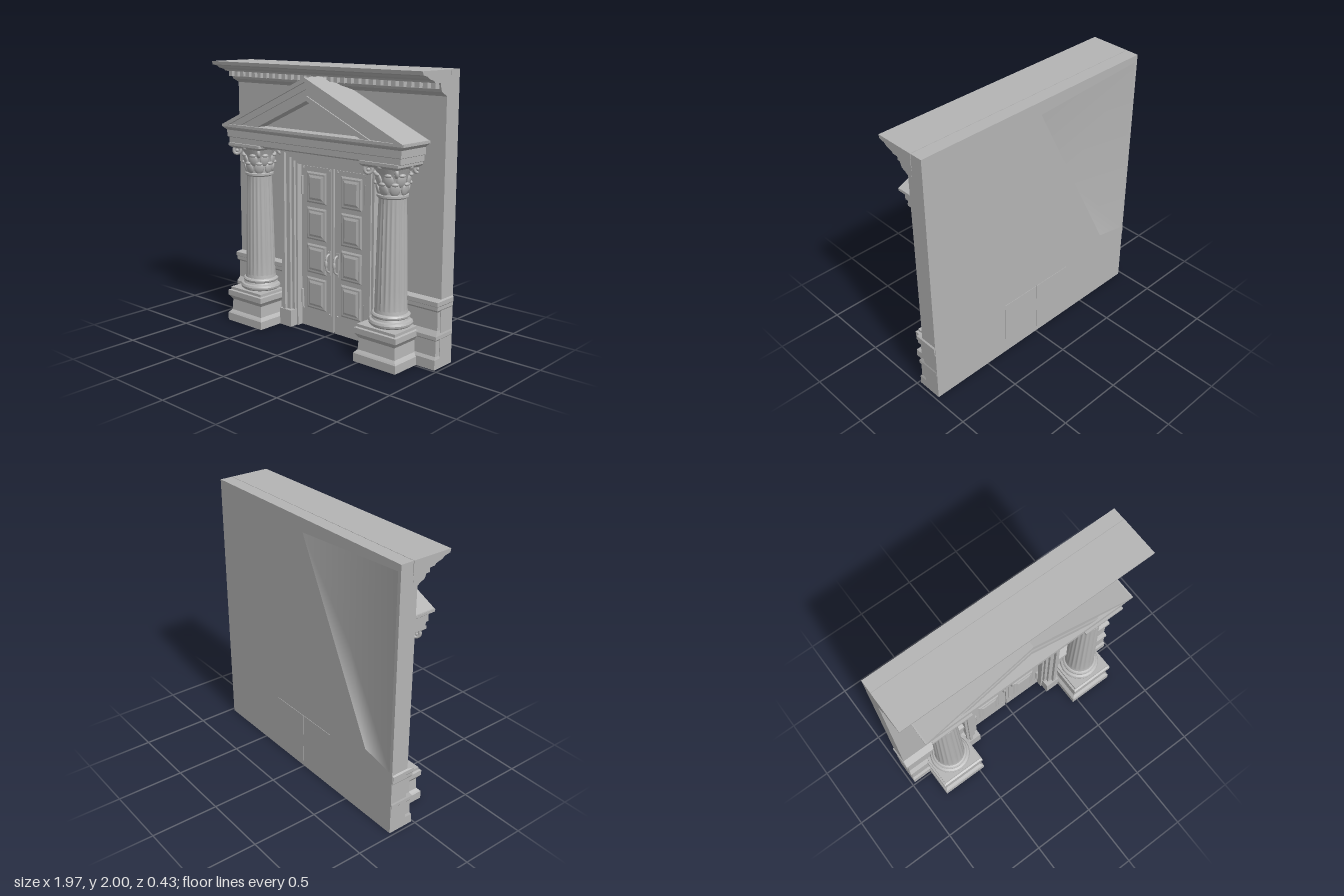
import * as THREE from 'three';
import { toCreasedNormals } from 'three/addons/utils/BufferGeometryUtils.js';

const stone = new THREE.MeshStandardMaterial({ color: 0xb4b4b4 });
stone.name = 'stone grey';

function add(parent, name, geo, x = 0, y = 0, z = 0) {
  const m = new THREE.Mesh(geo, stone);
  m.name = name;
  m.position.set(x, y, z);
  parent.add(m);
  return m;
}

// box given by its limits
function block(parent, name, x0, x1, y0, y1, z0, z1) {
  return add(parent, name, new THREE.BoxGeometry(x1 - x0, y1 - y0, z1 - z0),
    (x0 + x1) / 2, (y0 + y1) / 2, (z0 + z1) / 2);
}

// moulded block lofted from rectangles; rows are [y, left x, right x, back z, front z], rising
function loft(rows) {
  const p = [], idx = [];
  for (const [y, l, r, b, f] of rows) p.push(l, y, f, r, y, f, r, y, b, l, y, b);
  for (let r = 0; r < rows.length - 1; r++) {
    for (let i = 0; i < 4; i++) {
      const a = r * 4 + i, c = r * 4 + (i + 1) % 4;
      idx.push(a, c, c + 4, a, c + 4, a + 4);
    }
  }
  const t = (rows.length - 1) * 4;
  idx.push(t, t + 1, t + 2, t, t + 2, t + 3, 0, 2, 1, 0, 3, 2);
  const g = new THREE.BufferGeometry();
  g.setAttribute('position', new THREE.Float32BufferAttribute(p, 3));
  g.setIndex(idx);
  const flat = g.toNonIndexed();
  flat.computeVertexNormals();
  return flat;
}

// the same, symmetric in x; rows are [y, half width, back z, front z]
const moulding = rows => loft(rows.map(([y, w, b, f]) => [y, -w, w, b, f]));

const shape = pts => new THREE.Shape(pts.map(([x, y]) => new THREE.Vector2(x, y)));

// outline extruded between two z values
function slab(parent, name, s, z0, z1) {
  return add(parent, name, new THREE.ExtrudeGeometry(s, { depth: z1 - z0, bevelEnabled: false }), 0, 0, z0);
}

function lathe(pts, seg = 40) {
  return toCreasedNormals(new THREE.LatheGeometry(pts.map(([r, y]) => new THREE.Vector2(r, y)), seg), 0.6);
}

function buildWall(root) {
  const wall = new THREE.Group();
  wall.name = 'wall';
  root.add(wall);
  // front skin with the door opening
  slab(wall, 'wallFace', shape([[-0.975, 0], [-0.335, 0], [-0.335, 1.265], [0.335, 1.265], [0.335, 0],
    [0.975, 0], [0.975, 1.9], [-0.975, 1.9]]), -0.115, -0.075);
  // rear core with a sunken area
  const rim = [[-0.02, 1.9], [-0.95, 1.95], [-0.95, 0.5], [-0.7, 0.55]];
  const core = shape([[-0.975, 0], [0.975, 0], [0.975, 2], [-0.975, 2]]);
  core.holes.push(shape(rim));
  slab(wall, 'wallCore', core, -0.212, -0.115);
  const p = [-0.4, 1.2, -0.117];
  rim.forEach(([x, y]) => p.push(x, y, -0.212));
  const hollow = new THREE.BufferGeometry();
  hollow.setAttribute('position', new THREE.Float32BufferAttribute(p, 3));
  hollow.setIndex([0, 2, 1, 0, 3, 2, 0, 4, 3, 0, 1, 4]);
  hollow.computeVertexNormals();
  add(wall, 'rearHollow', hollow);
  // rear of the door leaves
  for (const s of [-1, 1]) add(wall, 'rearDoorPanel', new THREE.BoxGeometry(0.315, 0.41, 0.006), s * 0.16, 0.25, -0.212);

  // skirting, dado and rail on both sides of the door
  const rows = [[0, 0.975, -0.015], [0.07, 0.975, -0.015], [0.09, 0.97, -0.03], [0.2, 0.97, -0.03],
    [0.21, 0.978, -0.02], [0.235, 0.978, -0.02], [0.27, 0.97, -0.045], [0.4, 0.97, -0.045], [0.415, 0.98, -0.03],
    [0.44, 0.98, -0.03], [0.445, 0.984, -0.022], [0.475, 0.984, -0.022], [0.485, 0.975, -0.075]];
  add(wall, 'leftWainscot', loft(rows.map(([y, w, f]) => [y, 0.4, w, -0.208, f])));
  add(wall, 'rightWainscot', loft(rows.map(([y, w, f]) => [y, -w, -0.4, -0.208, f])));

  // crowning cornice with dentils
  add(wall, 'cornice', moulding([
    [1.83, -0.075], [1.845, -0.05], [1.86, -0.02], [1.88, -0.01], [1.92, 0], [1.922, 0.06],
    [1.935, 0.07], [1.95, 0.12], [1.965, 0.14], [1.975, 0.185], [2, 0.19]].map(([y, f]) => [y, 0.976, -0.112, f])));
  for (let i = -15; i <= 15; i++) {
    const x = i * 0.063;
    block(wall, 'dentil', x - 0.018, x + 0.018, 1.882, 1.922, -0.02, 0.035);
  }
}

function buildColumn(root, x) {
  const col = new THREE.Group();
  col.name = 'column';
  col.position.set(x, 0, 0.035);
  root.add(col);
  add(col, 'pedestal', moulding([
    [0, 0.183], [0.06, 0.183], [0.07, 0.175], [0.085, 0.16], [0.17, 0.155], [0.185, 0.165],
    [0.205, 0.18], [0.245, 0.18], [0.25, 0.165], [0.27, 0.165]].map(([y, r]) => [y, r, -r, r])));
  add(col, 'columnBase', lathe([[0.14, 0.27], [0.152, 0.28], [0.155, 0.295], [0.148, 0.31], [0.132, 0.315],
    [0.126, 0.328], [0.134, 0.335], [0.136, 0.347], [0.128, 0.357], [0.117, 0.36], [0.113, 0.385]]));
  // fluted, tapering shaft
  const shaft = new THREE.CylinderGeometry(1, 1, 0.81, 120, 10, true);
  const p = shaft.attributes.position;
  for (let i = 0; i < p.count; i++) {
    const t = THREE.MathUtils.clamp(p.getY(i) / 0.81 + 0.5, 0, 1);
    const a = Math.atan2(p.getZ(i), p.getX(i));
    const flute = t < 0.05 || t > 0.95 ? 0 : 0.006 * Math.abs(Math.sin(a * 10));
    const r = 0.114 - 0.02 * Math.pow(t, 1.2) - flute;
    p.setXYZ(i, r * Math.cos(a), p.getY(i), r * Math.sin(a));
  }
  shaft.computeVertexNormals();
  add(col, 'shaft', shaft, 0, 0.77, 0);
  // leafy capital
  add(col, 'capitalBell', lathe([[0.095, 1.15], [0.108, 1.16], [0.108, 1.175], [0.095, 1.18],
    [0.097, 1.26], [0.108, 1.32], [0.135, 1.36], [0.135, 1.37]]));
  for (const [y, r, shift] of [[1.215, 0.1, 0], [1.275, 0.107, 0.5]]) {
    for (let i = 0; i < 8; i++) {
      const leaf = new THREE.Group();
      leaf.name = 'leaf';
      leaf.rotation.y = (i + shift) * Math.PI / 4;
      col.add(leaf);
      const blade = add(leaf, 'leafBlade', new THREE.SphereGeometry(1, 12, 8), 0, y, r);
      blade.scale.set(0.036, 0.045, 0.014);
      blade.rotation.x = 0.2;
      add(leaf, 'leafCurl', new THREE.SphereGeometry(1, 10, 8), 0, y + 0.038, r + 0.016).scale.set(0.026, 0.013, 0.015);
    }
  }
  for (let i = 0; i < 4; i++) {
    const corner = new THREE.Group();
    corner.name = 'volute';
    corner.rotation.y = i * Math.PI / 2;
    col.add(corner);
    const scroll = add(corner, 'cornerScroll', new THREE.TorusGeometry(0.024, 0.013, 8, 18), 0.117, 1.34, 0.117);
    scroll.rotation.y = -Math.PI / 4;
    add(corner, 'scrollEye', new THREE.SphereGeometry(0.016, 10, 8), 0.117, 1.34, 0.117);
    add(corner, 'rosette', new THREE.SphereGeometry(0.02, 10, 8), 0, 1.372, 0.142);
  }
  add(col, 'abacus', moulding([[1.362, 0.142], [1.372, 0.155], [1.38, 0.162], [1.4, 0.162]].map(([y, r]) => [y, r, -r, r])));
}

function buildPediment(root) {
  const ped = new THREE.Group();
  ped.name = 'pediment';
  root.add(ped);
  add(ped, 'entablature', moulding([
    [1.39, 0.79, -0.08, 0.17], [1.4, 0.81, -0.08, 0.18], [1.44, 0.81, -0.08, 0.18], [1.445, 0.822, -0.08, 0.19],
    [1.495, 0.822, -0.08, 0.19], [1.51, 0.84, -0.08, 0.205], [1.52, 0.855, -0.08, 0.21], [1.54, 0.855, -0.08, 0.21]]));
  slab(ped, 'tympanum', shape([[-0.7, 1.53], [0.7, 1.53], [0, 1.85]]), -0.08, 0.1);
  // raking mouldings: drop of the upper edge, drop of the lower edge, front z
  for (const [a, b, z] of [[0, 0.03, 0.213], [0.025, 0.08, 0.197], [0.075, 0.13, 0.185], [0.125, 0.16, 0.195]]) {
    const top = 1.92 - a, low = 1.92 - b, k = 0.45, y = 1.535;
    const xo = (top - y) / k, xi = (low - y) / k;
    slab(ped, 'rakingMoulding', shape([[-xo, y], [-xi, y], [0, low], [xi, y], [xo, y], [0, top]]), -0.08, z);
  }
}

// bevelled plate facing forward
function plate(parent, name, w, h, bevel, depth, x, y, z) {
  const geo = moulding([[0, w, -h, h], [depth, w - bevel, bevel - h, h - bevel]]);
  add(parent, name, geo, x, y, z).rotation.x = Math.PI / 2;
}

function buildDoorway(root) {
  const door = new THREE.Group();
  door.name = 'doorway';
  root.add(door);
  // stepped surround: outer half width, outer top, inner half width, inner top, front z
  for (const [w, t, u, s, z] of [[0.45, 1.388, 0.425, 1.365, -0.005], [0.43, 1.368, 0.405, 1.345, 0.008],
    [0.41, 1.35, 0.37, 1.31, -0.015], [0.375, 1.315, 0.345, 1.285, -0.035], [0.35, 1.29, 0.328, 1.26, -0.055]]) {
    slab(door, 'doorSurround', shape([[-w, 0], [-u, 0], [-u, s], [u, s], [u, 0], [w, 0], [w, t], [-w, t]]), -0.115, z);
  }
  for (const s of [-1, 1]) {
    // leaves set back inside the surround
    const leaf = new THREE.Group();
    leaf.name = 'doorLeaf';
    leaf.position.z = -0.04;
    door.add(leaf);
    const box = (name, x0, x1, y0, y1, z) => block(leaf, name, Math.min(s * x0, s * x1), Math.max(s * x0, s * x1), y0, y1, -0.13, z);
    box('surroundFoot', 0.34, 0.455, 0, 0.13, 0.054);
    box('leafBoard', 0.008, 0.33, 0, 1.26, -0.062);
    box('leafPlate', 0.028, 0.312, 0.125, 1.245, -0.056);
    for (const [y0, y1] of [[0.15, 0.4], [0.43, 0.66], [0.69, 0.94], [0.97, 1.21]]) {
      const h = (y1 - y0) / 2, y = (y0 + y1) / 2;
      plate(leaf, 'panelBorder', 0.1, h, 0.015, 0.009, s * 0.17, y, -0.057);
      plate(leaf, 'panelField', 0.075, h - 0.025, 0.02, 0.009, s * 0.17, y, -0.049);
    }
    for (const x of [0.04, 0.3]) for (const y of [0.14, 1.23]) add(leaf, 'stud', new THREE.SphereGeometry(0.007, 8, 6), s * x, y, -0.055);
    for (const y of [0.22, 1.1]) add(leaf, 'hinge', new THREE.CylinderGeometry(0.01, 0.01, 0.14, 12), s * 0.308, y, -0.048);
    // pull handle with back plate
    box('handlePlate', 0.026, 0.054, 0.45, 0.63, -0.05);
    const path = new THREE.CatmullRomCurve3([[0.47, -0.05], [0.485, -0.025], [0.54, -0.015], [0.595, -0.025], [0.61, -0.05]]
      .map(([y, z]) => new THREE.Vector3(s * 0.04, y, z)));
    add(leaf, 'handle', new THREE.TubeGeometry(path, 20, 0.008, 8));
    add(leaf, 'handleGrip', new THREE.SphereGeometry(1, 10, 8), s * 0.04, 0.54, -0.015).scale.set(0.012, 0.03, 0.012);
  }
}

export function createModel() {
  const root = new THREE.Group();
  root.name = 'columnedDoorway';
  buildWall(root);
  buildDoorway(root);
  for (const s of [-1, 1]) buildColumn(root, s * 0.64);
  buildPediment(root);
  return root;
}
